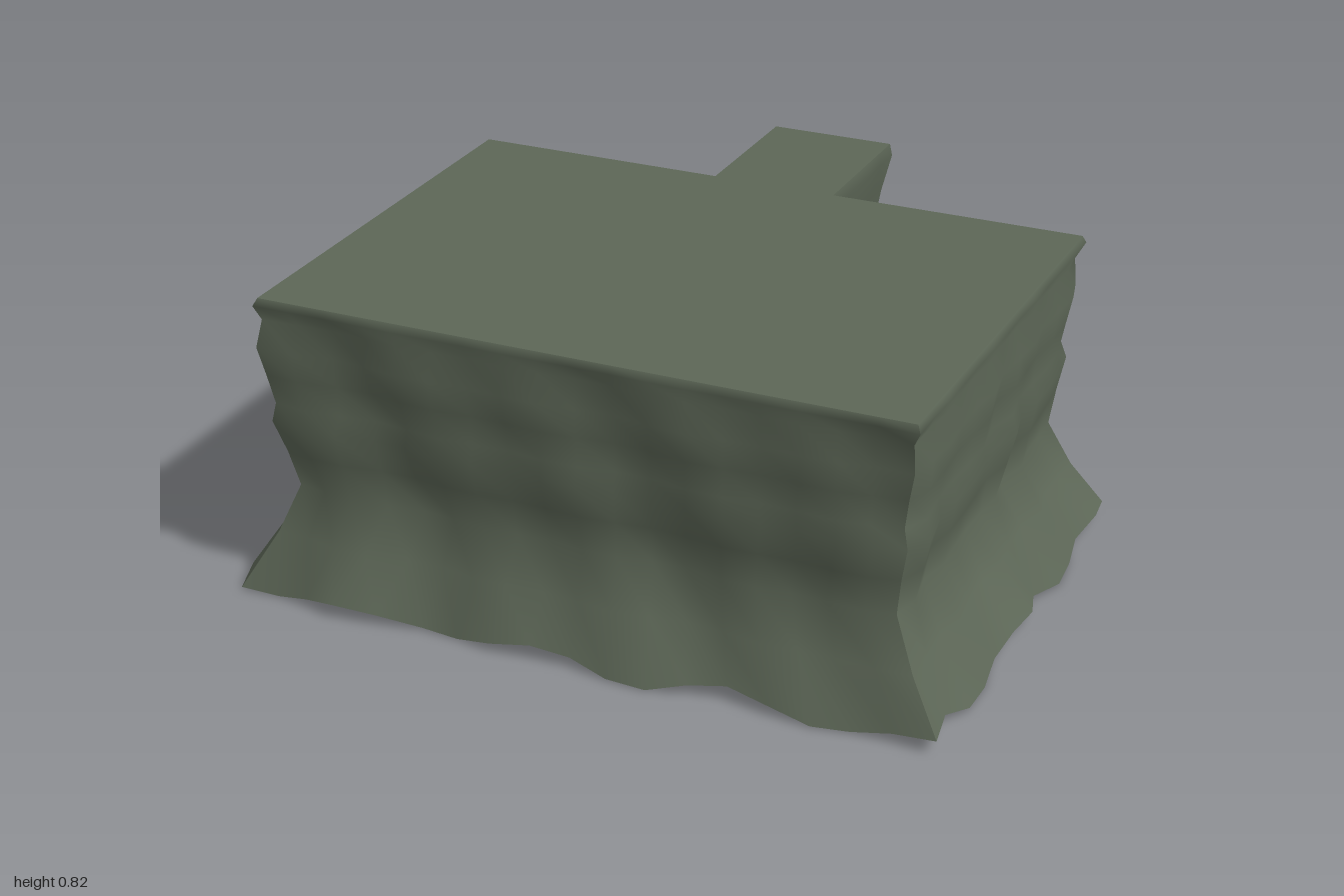
import * as THREE from 'three';

const rock = new THREE.MeshStandardMaterial({ color: 0x5d6757, side: THREE.DoubleSide });
rock.name = 'mossy grey rock';

const TOP = 0.835;
const CORNERS = [[-1, 1], [1, 1], [1, -1], [-1, -1]];

// Slanted folds that run down the cliffs
const ripple = (x, y, z) =>
  0.6 * Math.sin(17 * x + 7 * y + 21 * z) + 0.4 * Math.sin(9 * x + 5 * y - 31 * z + 1);

// One open-bottomed cliff: rows are [height, offset in x, offset in z, fold depth]
function wallGeometry(side, hx, hz, cz, rows, segments, wave) {
  const [ax, az] = CORNERS[side];
  const [bx, bz] = CORNERS[(side + 1) % 4];
  const positions = [];
  const indices = [];
  rows.forEach(([y, offX, offZ, depth], r) => {
    for (let i = 0; i <= segments; i++) {
      const t = i / segments;
      const u = ax + (bx - ax) * t;
      const v = az + (bz - az) * t;
      const x = u * hx;
      const z = v * hz + cz;
      // corners are worn back a little
      const fold = depth * (ripple(x, y, z) - 0.6 * Math.abs(u * v) ** 8);
      const drop = r === rows.length - 1 ? wave * Math.sin(13 * x + 11 * z) : 0;
      positions.push(u * (hx + offX + fold), y + drop, cz + v * (hz + offZ + fold));
      if (i < segments && r < rows.length - 1) {
        const a = r * (segments + 1) + i;
        const b = a + segments + 1;
        indices.push(a, b, b + 1, a, b + 1, a + 1);
      }
    }
  });
  const geometry = new THREE.BufferGeometry();
  geometry.setAttribute('position', new THREE.Float32BufferAttribute(positions, 3));
  geometry.setIndex(indices);
  geometry.computeVertexNormals();
  return geometry;
}

// Flat top with four folded walls hanging from it
function block(name, hx, hz, cz, rows, spacing, wave) {
  const group = new THREE.Group();
  group.name = name;
  ['front', 'left', 'back', 'right'].forEach((label, side) => {
    const length = 2 * (side % 2 ? hz : hx);
    const segments = Math.max(2, Math.round(length / spacing));
    const wall = new THREE.Mesh(wallGeometry(side, hx, hz, cz, rows, segments, wave), rock);
    wall.name = `${label}Cliff`;
    group.add(wall);
  });
  const top = new THREE.Mesh(new THREE.PlaneGeometry(2 * hx, 2 * hz).rotateX(-Math.PI / 2), rock);
  top.name = 'flatTop';
  top.position.set(0, TOP, cz);
  group.add(top);
  return group;
}

export function createModel() {
  const model = new THREE.Group();
  model.name = 'rockPlatform';

  // Wide plateau with ledges and a flared foot
  model.add(block('plateau', 0.88, 0.615, 0.205, [
    [TOP, 0, 0, 0], [0.815, 0.01, 0.01, 0.002], [0.775, -0.006, -0.006, 0.008],
    [0.7, 0.008, 0.006, 0.014], [0.62, -0.005, -0.006, 0.014], [0.54, -0.016, -0.014, 0.014],
    [0.49, -0.004, -0.004, 0.014], [0.4, -0.026, -0.022, 0.014], [0.3, -0.046, -0.038, 0.014],
    [0.17, 0.008, 0, 0.018], [0.03, 0.092, 0.063, 0.026],
  ], 0.1, 0.02));

  // Narrow waisted outcrop behind it
  model.add(block('backOutcrop', 0.175, 0.215, -0.625, [
    [TOP, 0, 0, 0], [0.8, 0.006, 0.006, 0.002], [0.7, -0.015, -0.018, 0.005],
    [0.6, -0.03, -0.036, 0.006], [0.5, -0.034, -0.042, 0.007], [0.42, -0.028, -0.032, 0.008],
    [0.3, -0.012, -0.008, 0.01], [0.17, 0.01, 0.024, 0.013], [0.03, 0.035, 0.064, 0.018],
  ], 0.09, 0));

  return model;
}
